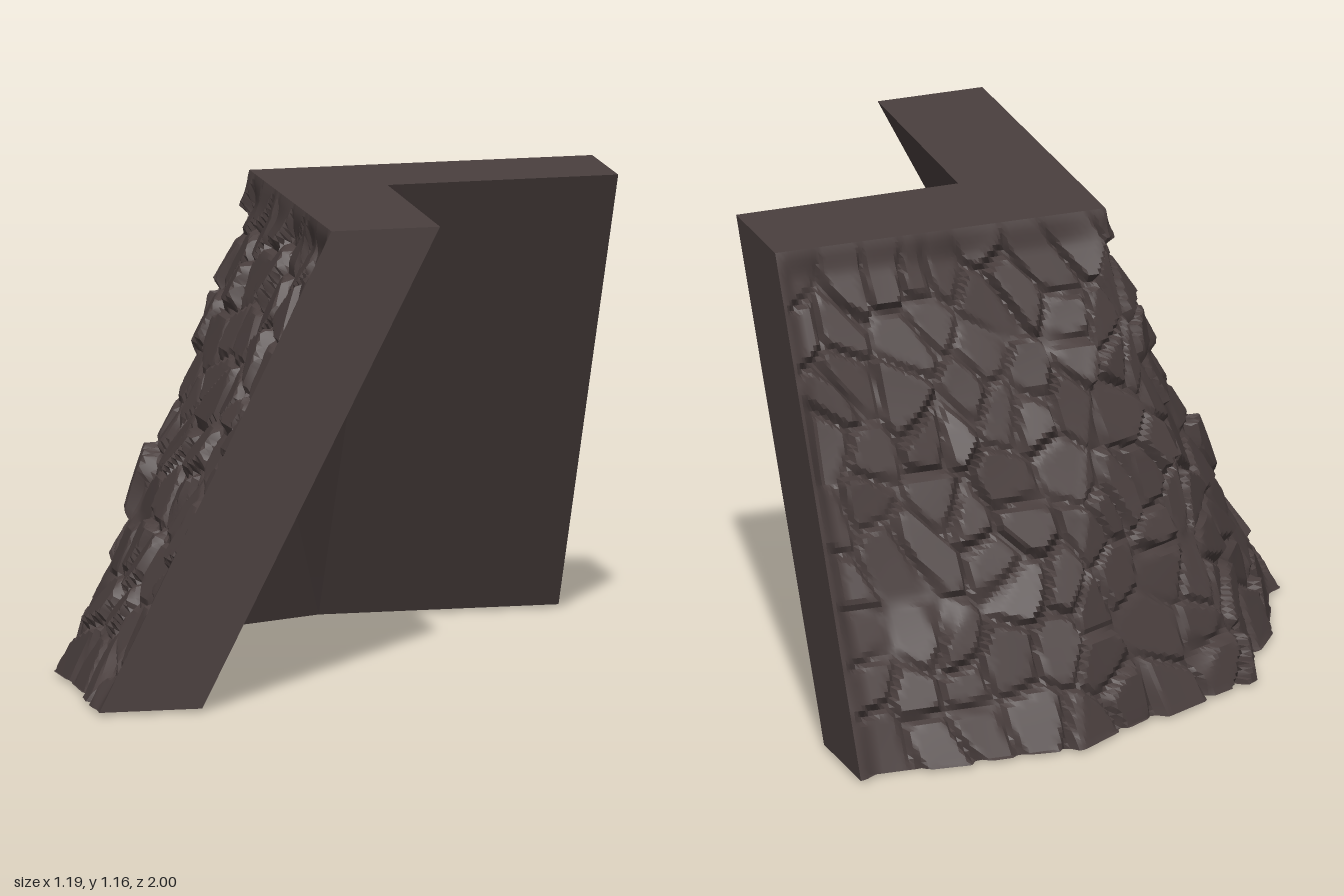
import * as THREE from 'three';
import { toCreasedNormals } from 'three/addons/utils/BufferGeometryUtils.js';

const HEIGHT = 1.155;
const COLS = 200, ROWS = 100;

let seed = 11;
function rand() {
  seed = (seed * 16807) % 2147483647;
  return seed / 2147483647;
}

const V = (x, y, z) => new THREE.Vector3(x, y, z);
const smooth = THREE.MathUtils.smoothstep;

// Mirrored five-point plan: wing end, knee, centre, knee, wing end
function plan(y, [ex, ez], [kx, kz], cx) {
  return [V(ex, y, ez), V(kx, y, kz), V(cx, y, 0), V(kx, y, -kz), V(ex, y, -ez)];
}

const outerBase = plan(0, [0, 1], [-0.41, 0.59], -0.6);
const outerTop = plan(HEIGHT, [0.41, 0.6], [-0.19, 0], -0.19);
const innerBase = plan(0, [0.18, 0.82], [-0.24, 0.4], -0.4);
const innerMid = plan(0.6, [0.398, 0.607], [-0.02, 0.19], -0.13);
const innerTop = plan(HEIGHT, [0.6, 0.41], [0.2, 0], 0.2);

// Point at fraction u of a polyline's length
function along(points, u) {
  const lengths = points.slice(1).map((p, i) => p.distanceTo(points[i]));
  let d = u * lengths.reduce((a, b) => a + b, 0);
  for (let i = 0; i < lengths.length; i++) {
    if (d <= lengths[i] || i === lengths.length - 1) {
      return points[i].clone().lerp(points[i + 1], lengths[i] ? Math.min(d / lengths[i], 1) : 0);
    }
    d -= lengths[i];
  }
}

// Skin a list of rows that all have the same number of points
function loft(rows, crease = 0.3) {
  const n = rows[0].length, index = [];
  for (let r = 0; r < rows.length - 1; r++) {
    for (let c = 0; c < n - 1; c++) {
      const a = r * n + c, b = a + n;
      index.push(a, b, b + 1, a, b + 1, a + 1);
    }
  }
  const geometry = new THREE.BufferGeometry().setFromPoints(rows.flat());
  geometry.setIndex(index);
  return toCreasedNormals(geometry, crease);
}

// Stones: jittered cells, each with its own depth and tilt
function makeStones() {
  const stones = [];
  const nx = 17, ny = 9;
  for (let i = 0; i < nx; i++) {
    for (let j = 0; j < ny; j++) {
      stones.push({
        x: ((i + 0.1 + 0.8 * rand()) / nx - 0.5) * 2.1,
        y: ((j + 0.1 + 0.8 * rand()) / ny) * 1.23,
        depth: 0.008 + 0.026 * rand(),
        tiltX: (rand() - 0.5) * 0.35,
        tiltY: (rand() - 0.5) * 0.35,
      });
    }
  }
  return stones;
}

// Inward depth of the rock face: flat tilted stones with narrow cracks between
function rockDepth(stones, x, y) {
  const px = x + 0.02 * Math.sin(y * 13 + x * 4), py = y + 0.02 * Math.sin(x * 11);
  let near = null, d1 = 9, d2 = 9;
  for (const s of stones) {
    const d = Math.hypot(px - s.x, (py - s.y) * 0.85);
    if (d < d1) { d2 = d1; d1 = d; near = s; } else if (d < d2) d2 = d;
  }
  const face = near.depth + near.tiltX * (px - near.x) + near.tiltY * (py - near.y);
  const crack = 1 - smooth(d2 - d1, 0, 0.028);
  return Math.max(0, THREE.MathUtils.lerp(face, 0.042, crack));
}

function rockRows() {
  const stones = makeStones();
  const base = (u, t) => along(outerBase.map((p, i) => p.clone().lerp(outerTop[i], t)), u);
  const rows = [];
  for (let r = 0; r <= ROWS; r++) {
    const t = r / ROWS, row = [];
    for (let c = 0; c <= COLS; c++) {
      const u = c / COLS, p = base(u, t);
      // Inward direction from the slopes of the plain wall
      const du = base(Math.min(u + 0.02, 1), t).sub(base(Math.max(u - 0.02, 0), t));
      const dt = base(u, Math.min(t + 0.01, 1)).sub(base(u, Math.max(t - 0.01, 0)));
      const inward = du.cross(dt).normalize();
      if (inward.x < 0) inward.negate();
      const edge = smooth(1 - t, 0, 0.06) * smooth(Math.min(u, 1 - u), 0, 0.025);
      const hollow = 0.012 * Math.sin(Math.PI * t);
      const depth = (rockDepth(stones, (u - 0.5) * 2.1, t * 1.23) + hollow) * edge;
      p.addScaledVector(inward, depth);
      if (r === 0) p.y = 0;
      row.push(p);
    }
    rows.push(row);
  }
  return rows;
}

export function createModel() {
  const model = new THREE.Group();
  model.name = 'cliffCorner';
  const material = new THREE.MeshStandardMaterial({ color: 0x4a3f3e });
  const add = (name, geometry) => {
    const mesh = new THREE.Mesh(geometry, material);
    mesh.name = name;
    model.add(mesh);
  };

  // Rough outer face
  const rock = rockRows();
  add('rockFace', loft(rock, 0.35));

  // Smooth inner wall with its folded corner
  add('innerWall', loft([innerBase, innerMid, innerTop].map((row) => [...row].reverse()), 0.05));

  // Flat ledge on top and underside
  add('topLedge', loft([outerTop, innerTop]));
  add('underside', loft([rock[0].map((p, c) => along(innerBase, c / COLS)), rock[0]]));

  // Flat ends of the two wings
  const endCap = (column, i) => [
    rock.map((row) => row[column]),
    rock.map((row, r) => innerBase[i].clone().lerp(innerTop[i], r / ROWS)),
  ];
  add('leftEnd', loft(endCap(0, 0)));
  add('rightEnd', loft(endCap(COLS, 4).reverse()));

  return model;
}
